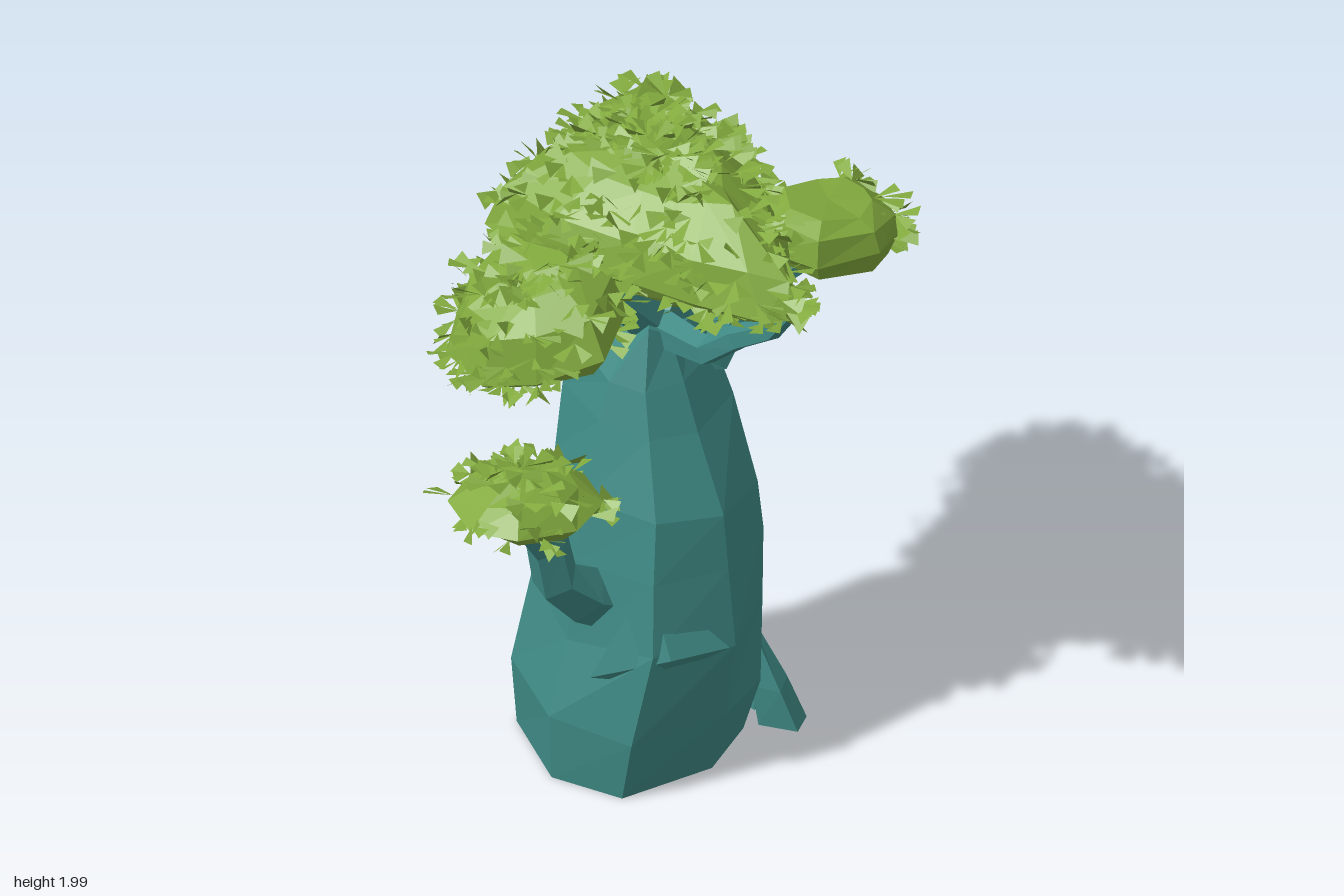
import * as THREE from 'three';
import { ConvexGeometry } from 'three/addons/geometries/ConvexGeometry.js';

const V = (x, y, z) => new THREE.Vector3(x, y, z);
const bark = new THREE.MeshStandardMaterial({ color: 0x3f8a85, flatShading: true, side: THREE.DoubleSide });
const green = new THREE.MeshStandardMaterial({ color: 0x82aa3e, flatShading: true });
const leaf = new THREE.MeshStandardMaterial({ color: 0x82aa3e, flatShading: true, side: THREE.DoubleSide });

let seed = 7;
const rnd = () => (seed = (seed * 16807) % 2147483647) / 2147483647;
const spread = (a) => (rnd() * 2 - 1) * a;

function named(name, geometry, material) {
  const mesh = new THREE.Mesh(geometry, material);
  mesh.name = name;
  return mesh;
}

// Skin over rings of equal size, closed at the end point and, if given, the start point
function loft(rings, end, start) {
  const n = rings[0].length, pos = [], index = [];
  for (const p of [...rings.flat(), end, start ?? end]) pos.push(p.x, p.y, p.z);
  const e = rings.length * n, s = e + 1, last = e - n;
  for (let i = 0; i < n; i++) {
    const j = (i + 1) % n;
    for (let r = 0; r < last; r += n) {
      index.push(r + i, r + n + i, r + j, r + j, r + n + i, r + n + j);
    }
    index.push(e, last + j, last + i);
    if (start) index.push(s, i, j);
  }
  const g = new THREE.BufferGeometry();
  g.setAttribute('position', new THREE.Float32BufferAttribute(pos, 3));
  g.setIndex(index);
  g.computeVertexNormals();
  return g;
}

// Root open below: each level is [y, [[x, z], ...]]
const root = (levels, end) => loft(levels.map(([y, ring]) => ring.map(([x, z]) => V(x, y, z))), end);

// Tapered limb; each point is [x, y, z, radius]
function limb(path, sides = 5) {
  const pts = path.map((p) => V(p[0], p[1], p[2])), m = pts.length - 1;
  const side = V(0, 1, 0).cross(pts[m].clone().sub(pts[0])).normalize();
  const rings = pts.map((p, k) => {
    const d = pts[Math.min(k + 1, m)].clone().sub(pts[Math.max(k - 1, 0)]).normalize();
    const u = side.clone().addScaledVector(d, -side.dot(d)).normalize();
    const v = u.clone().cross(d);
    return Array.from({ length: sides }, (_, i) => {
      const a = (i / sides) * Math.PI * 2;
      return p.clone().addScaledVector(u, Math.cos(a) * path[k][3]).addScaledVector(v, Math.sin(a) * path[k][3]);
    });
  });
  return loft(rings, pts[m], pts[0]);
}

// Pairs of small pointed leaves scattered from the lower edge of a crown to its top
function tufts(rings, top, count, tipX) {
  const pos = [], n = rings[0].length;
  const shell = [...rings, rings[0].map(() => top)];
  while (count > 0) {
    const k = Math.floor(rnd() * (shell.length - 1)), i = Math.floor(rnd() * n), j = (i + 1) % n;
    const s = rnd(), t = rnd() * 0.85;
    const p = shell[k][i].clone().lerp(shell[k][j], s).lerp(shell[k + 1][i].clone().lerp(shell[k + 1][j], s), t);
    if (p.x < tipX) continue;
    const heading = Math.atan2(p.z - top.z, p.x - top.x) + spread(1.5);
    for (const f of [-0.4, 0.4]) {
      const a = heading + f + spread(0.3), len = 0.05 + rnd() * 0.04;
      const tip = (da) => [p.x + Math.cos(a + da) * len, p.y + 0.005 + spread(0.03), p.z + Math.sin(a + da) * len];
      pos.push(p.x, p.y + 0.004, p.z, ...tip(-0.25), ...tip(0.25));
    }
    count--;
  }
  const g = new THREE.BufferGeometry();
  g.setAttribute('position', new THREE.Float32BufferAttribute(pos, 3));
  g.computeVertexNormals();
  return g;
}

// Leafy crown: outline of [x, z], levels of [scale, y], tilted along x by slope
function crown({ name, outline, centre, levels, under, top, slope = 0, leaves, tipX = -1 }) {
  const [cx, cz] = centre;
  const rings = levels.map(([s, y]) => outline.map(([x, z]) => {
    const k = s * (1 + spread(0.04));
    return V(cx + (x - cx) * k, y + (x - cx) * k * slope + spread(0.015), cz + (z - cz) * k);
  }));
  const peak = V(cx, top, cz), group = new THREE.Group();
  group.name = name;
  group.add(
    named('foliage', loft(rings, peak, V(cx, under, cz)), green),
    named('leafTufts', tufts(rings, peak, leaves, tipX), leaf),
  );
  return group;
}

export function createModel() {
  seed = 7;
  const tree = new THREE.Group();
  tree.name = 'tree';

  // Hollow trunk, open below: [y, xMin, xMax, zMin, zMax] for each ring
  const sections = [
    [0, -0.37, 0.29, -0.39, 0.27], [0.2, -0.38, 0.3, -0.385, 0.33],
    [0.48, -0.31, 0.305, -0.35, 0.37], [0.74, -0.28, 0.285, -0.28, 0.34],
    [0.92, -0.25, 0.275, -0.295, 0.32], [1.16, -0.185, 0.245, -0.31, 0.21],
    [1.27, -0.15, 0.22, -0.25, 0.15], [1.42, -0.08, 0.13, -0.15, 0.09],
  ];
  const trunkRings = sections.map(([y, x0, x1, z0, z1]) => Array.from({ length: 8 }, (_, i) => {
    const a = (i / 8) * Math.PI * 2, c = Math.cos(a), s = Math.sin(a);
    const k = i % 2 ? (i % 4 === 3 ? 1.07 : 1.01) + spread(0.05) : 1;
    return V(c * k * (c > 0 ? x1 : -x0), y + (y > 0 ? spread(0.04) : 0), s * k * (s > 0 ? z1 : -z0));
  }));
  tree.add(named('trunk', loft(trunkRings, V(0.03, 1.45, -0.03)), bark));

  // Bark fold on the front, and roots on the left
  tree.add(named('barkFold', new ConvexGeometry([
    V(-0.34, 0.4, 0.13), V(-0.03, 0.49, 0.38), V(-0.21, 0.5, 0.33), V(-0.2, 0.38, 0.25), V(-0.2, 0.72, 0.22),
  ]), bark));
  tree.add(named('frontRoot', root([
    [0, [[0.32, 0.15], [0.37, 0.26], [0.3, 0.3], [0.24, 0.2]]],
    [0.13, [[0.32, 0.12], [0.34, 0.21], [0.27, 0.26], [0.23, 0.18]]],
    [0.29, [[0.29, 0.04], [0.31, 0.09], [0.25, 0.18], [0.23, 0.1]]],
  ], V(0.28, 0.43, -0.04)), bark));
  tree.add(named('sideRoot', root([
    [0, [[0.23, -0.27], [0.39, -0.1], [0.4, 0.04], [0.28, 0.14], [0.27, -0.05]]],
    [0.13, [[0.24, -0.24], [0.36, -0.11], [0.37, 0.02], [0.29, 0.12], [0.27, -0.05]]],
    [0.25, [[0.26, -0.15], [0.3, -0.11], [0.31, 0.05], [0.28, 0.09], [0.26, -0.03]]],
  ], V(0.27, 0.34, -0.03)), bark));

  // Branches
  const branches = {
    lowBranch: [[-0.2, 0.58, 0.04, 0.1], [-0.3, 0.64, 0.05, 0.09], [-0.4, 0.73, 0.05, 0.07],
      [-0.43, 0.87, 0.05, 0.065], [-0.52, 0.99, 0.05, 0.052], [-0.57, 1.07, 0.05, 0.035]],
    rightBranch: [[0.03, 1.38, 0, 0.08], [-0.06, 1.48, 0, 0.062], [-0.13, 1.56, 0, 0.048],
      [-0.21, 1.61, 0, 0.038], [-0.36, 1.65, 0, 0.025]],
    frontBranch: [[0.02, 1.4, 0.03, 0.06], [0.01, 1.43, 0.24, 0.045], [0.05, 1.5, 0.32, 0.04],
      [0.08, 1.57, 0.43, 0.035], [0.09, 1.66, 0.5, 0.025]],
    leftBranch: [[0.08, 1.29, 0.04, 0.06], [0.17, 1.28, 0.1, 0.06], [0.21, 1.38, 0.12, 0.052],
      [0.28, 1.47, 0.14, 0.04], [0.4, 1.51, 0.18, 0.03], [0.5, 1.6, 0.2, 0.022]],
    backBranch: [[0.04, 1.36, -0.04, 0.08], [0.12, 1.41, -0.15, 0.065], [0.18, 1.44, -0.21, 0.052],
      [0.25, 1.51, -0.28, 0.04], [0.3, 1.6, -0.35, 0.025]],
    topBranch: [[0.03, 1.36, -0.01, 0.09], [0.1, 1.48, 0, 0.06], [0.15, 1.58, 0, 0.042], [0.18, 1.8, 0, 0.025]],
  };
  for (const [name, path] of Object.entries(branches)) tree.add(named(name, limb(path), bark));

  // Leafy crowns
  tree.add(
    crown({
      name: 'topCrown', centre: [0.06, -0.03], under: 1.77, top: 1.97, leaves: 290,
      levels: [[0.85, 1.64], [1, 1.68], [0.85, 1.81], [0.48, 1.925]],
      outline: [[0.4, 0.05], [0.31, 0.25], [0.18, 0.43], [0.06, 0.61], [-0.03, 0.51], [-0.12, 0.34],
        [-0.19, 0.12], [-0.3, -0.15], [-0.28, -0.4], [-0.03, -0.49], [0.25, -0.46], [0.42, -0.17]],
    }),
    crown({
      name: 'backCrown', centre: [0.31, -0.32], under: 1.6, top: 1.83, leaves: 120,
      levels: [[0.85, 1.51], [1, 1.57], [0.88, 1.72], [0.5, 1.8]],
      outline: [[0.53, -0.2], [0.42, -0.03], [0.2, -0.05], [0.08, -0.25],
        [0.12, -0.48], [0.28, -0.59], [0.47, -0.58], [0.53, -0.4]],
    }),
    crown({
      name: 'rightCrown', centre: [-0.44, 0], under: 1.62, top: 1.8, leaves: 125, slope: 0.3,
      levels: [[0.85, 1.56], [1, 1.6], [0.82, 1.72], [0.45, 1.78]],
      outline: [[-0.2, 0], [-0.22, 0.17], [-0.42, 0.28], [-0.58, 0.17],
        [-0.68, 0.05], [-0.66, -0.13], [-0.5, -0.25], [-0.28, -0.27]],
    }),
    crown({
      name: 'leftCrown', centre: [0.49, 0.22], under: 1.57, top: 1.72, leaves: 26, slope: -0.17, tipX: 0.6,
      levels: [[0.82, 1.54], [1, 1.61], [0.9, 1.69], [0.6, 1.72]],
      outline: [[0.7, 0.24], [0.66, 0.34], [0.52, 0.41], [0.32, 0.36],
        [0.27, 0.2], [0.36, 0.04], [0.56, 0.06], [0.67, 0.13]],
    }),
    crown({
      name: 'lowCrown', centre: [-0.51, 0.03], under: 1.02, top: 1.15, leaves: 60, slope: -0.08,
      levels: [[0.72, 0.99], [1, 1.04], [0.7, 1.1], [0.3, 1.14]],
      outline: [[-0.28, 0.04], [-0.32, 0.17], [-0.48, 0.24], [-0.66, 0.18],
        [-0.73, 0.06], [-0.67, -0.1], [-0.5, -0.18], [-0.34, -0.12]],
    }),
  );
  return tree;
}
